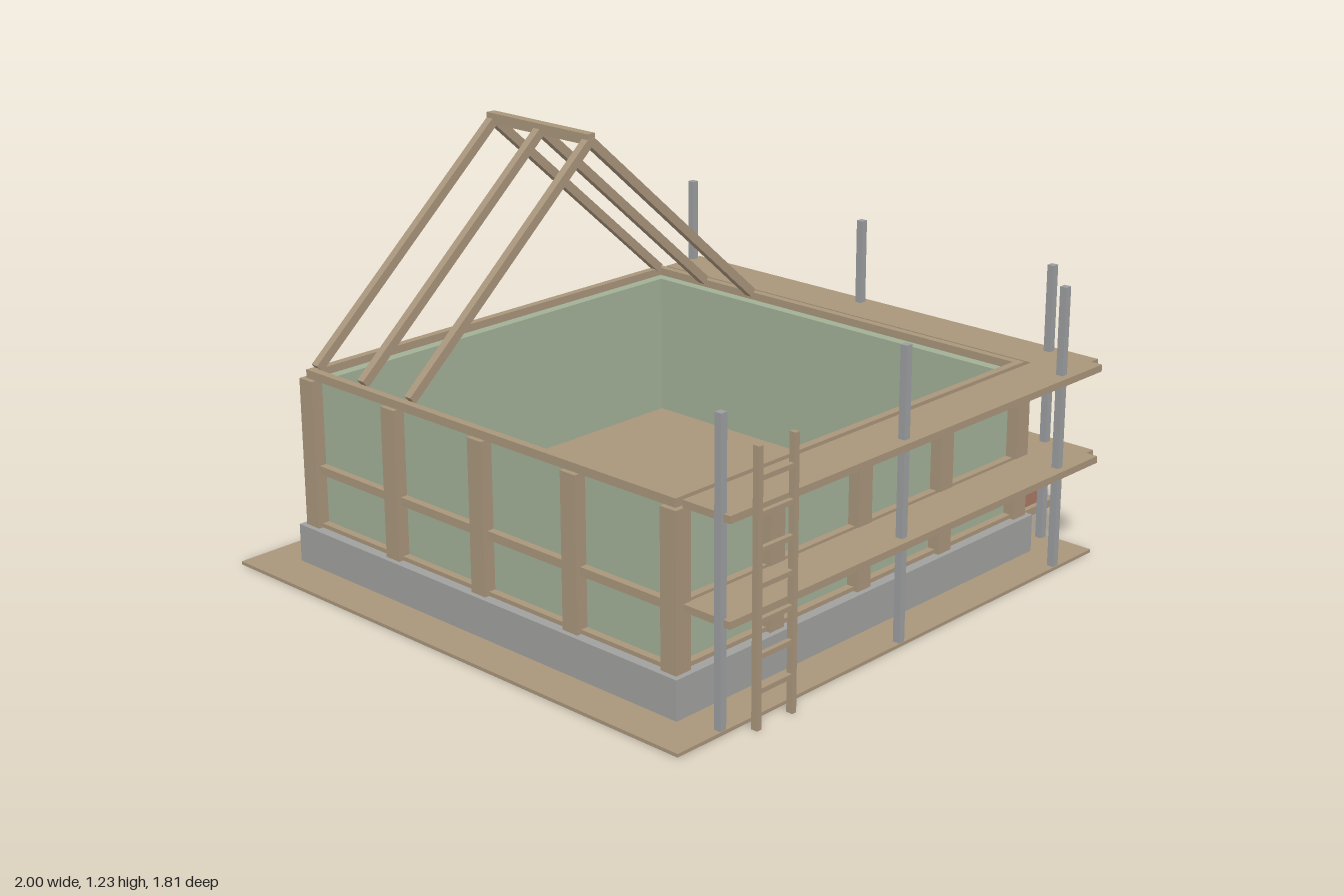
import * as THREE from 'three';

const CX = -0.118, CZ = -0.025; // centre of the house

const mat = (name, color) => {
  const m = new THREE.MeshStandardMaterial({ color });
  m.name = name;
  return m;
};

export function createModel() {
  const root = new THREE.Group();
  root.name = 'houseUnderConstruction';
  const wood = mat('wood', 0xa8957b);
  const plaster = mat('green wall', 0xa1b096);
  const concrete = mat('grey concrete', 0xa0a09e);
  const steel = mat('grey steel', 0x9b9d9f);
  const brick = mat('red brick', 0xa87764);

  // Box from its lower and upper limits on each axis
  const box = (parent, name, m, x0, x1, y0, y1, z0, z1) => {
    const mesh = new THREE.Mesh(new THREE.BoxGeometry(x1 - x0, y1 - y0, z1 - z0), m);
    mesh.position.set((x0 + x1) / 2, (y0 + y1) / 2, (z0 + z1) / 2);
    mesh.name = name;
    parent.add(mesh);
    return mesh;
  };
  const group = (name, x = 0, z = 0) => {
    const g = new THREE.Group();
    g.name = name;
    g.position.set(x, 0, z);
    root.add(g);
    return g;
  };

  // Ground sheet, plinth and floor
  box(root, 'ground', wood, -1, 0.77, 0, 0.01, -0.905, 0.855);
  const house = group('house', CX, CZ);
  box(house, 'plinth', concrete, -0.758, 0.758, 0.005, 0.125, -0.758, 0.758);
  box(house, 'floor', wood, -0.68, 0.68, 0.12, 0.132, -0.68, 0.68);

  // Four sides, each with a wall panel, three rails and its posts
  for (let side = 0; side < 4; side++) {
    const s = new THREE.Group();
    s.name = 'wallSide';
    s.rotation.y = side * Math.PI / 2;
    house.add(s);
    box(s, 'wallPanel', plaster, -0.705, 0.672, 0.125, 0.576, 0.672, 0.705);
    for (const y of [0.125, 0.303, 0.587]) {
      box(s, 'rail', wood, -0.728, 0.704, y - 0.0125, y + 0.0125, 0.704, 0.728);
    }
    for (let i = 0; i < 4; i++) {
      const x = -0.715 + i * 0.3575;
      box(s, 'wallPost', wood, x - 0.0275, x + 0.0275, 0.125, 0.574, 0.6875, 0.7425);
    }
  }

  // Three rafter pairs and the ridge beam
  const roof = group('roofFrame', CX, 0);
  const run = 0.7, rise = 0.61;
  for (const z of [-0.738, -0.535, -0.333]) {
    for (const side of [-1, 1]) {
      const rafter = new THREE.Mesh(
        new THREE.BoxGeometry(Math.hypot(run, rise), 0.028, 0.025), wood);
      rafter.position.set(side * run / 2, 0.6 + rise / 2, z);
      rafter.rotation.z = -side * Math.atan2(rise, run);
      rafter.name = 'rafter';
      roof.add(rafter);
    }
  }
  box(roof, 'ridgeBeam', wood, -0.015, 0.015, 1.2, 1.232, -0.75, -0.322);

  // Scaffold decks and poles along the front and the left side
  const scaffold = group('scaffold');
  for (const y of [0.294, 0.575]) {
    box(scaffold, 'frontDeck', wood, -0.833, 0.75, y, y + 0.021, 0.715, 0.875);
    box(scaffold, 'sideDeck', wood, 0.625, 0.785, y, y + 0.021, -0.74, 0.837);
  }
  const pole = (x, z) =>
    box(scaffold, 'pole', steel, x - 0.011, x + 0.011, 0, 0.858, z - 0.011, z + 0.011);
  for (const d of [-0.714, 0, 0.714]) {
    pole(CX + d, 0.842);
    pole(0.75, CZ + d);
  }

  // Ladder
  const ladder = group('ladder', -0.688, 0.895);
  for (const x of [-0.067, 0.067]) {
    box(ladder, 'ladderStile', wood, x - 0.008, x + 0.008, 0, 0.765, -0.01, 0.01);
  }
  for (let i = 0; i < 7; i++) {
    const y = 0.105 + i * 0.0955;
    box(ladder, 'ladderRung', wood, -0.06, 0.06, y - 0.007, y + 0.007, -0.007, 0.007);
  }

  // Stacked boards and bricks on a pallet
  box(root, 'lowerBoard', wood, 0.775, 1, 0.005, 0.029, -0.142, 0.278);
  box(root, 'upperBoard', wood, 0.775, 1, 0.031, 0.055, -0.142, 0.278);
  box(root, 'pallet', wood, 0.775, 1, 0.005, 0.03, 0.377, 0.565);
  box(root, 'brickStack', brick, 0.79, 0.982, 0.03, 0.07, 0.394, 0.548);
  return root;
}
